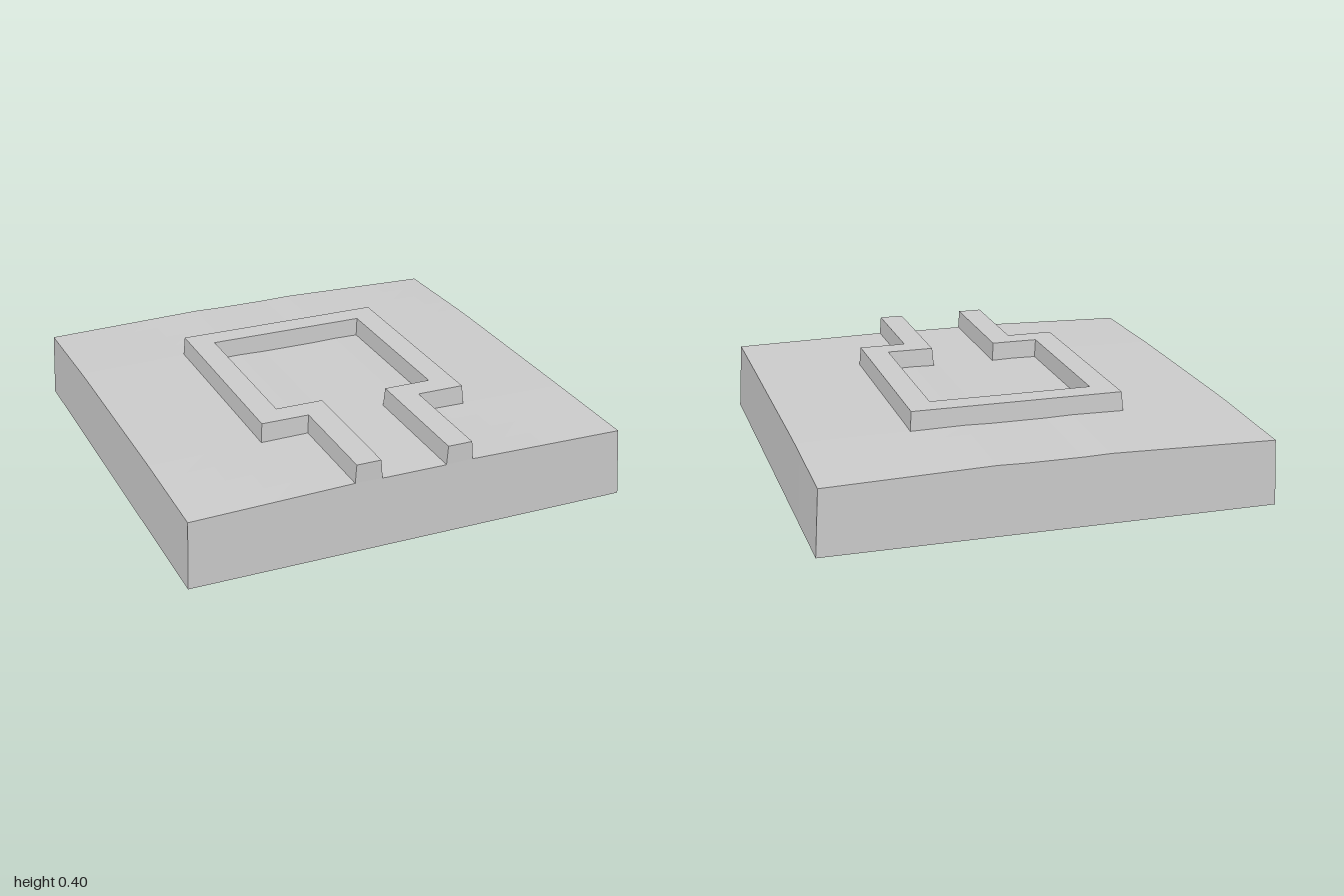
import * as THREE from 'three';

const material = () => new THREE.MeshStandardMaterial({ color: 0xcccccc, flatShading: true });
const ramp = (v, a, b) => THREE.MathUtils.clamp((v - a) / (b - a), 0, 1);

// Ground height: level in the middle, falling gently to the rim and the back corners
function groundHeight(x, z) {
  const side = ramp(Math.abs(x), 0.25, 1);
  const back = ramp(-z, 0.45, 1);
  const front = ramp(z, 0.5, 1);
  const dip = Math.abs(x) < 0.15 ? 0.003 : 0;
  return 0.318 - 0.01 * side - 0.008 * back - dip
    - 0.008 * side * back - (x < 0 ? 0.01 : 0.002) * side * front;
}

// Thick slab with slightly leaning sides and an uneven top
function buildGround() {
  const geo = new THREE.BoxGeometry(2, 1, 2, 16, 1, 16);
  const p = geo.attributes.position;
  for (let i = 0; i < p.count; i++) {
    let x = p.getX(i), z = p.getZ(i), y = 0;
    if (p.getY(i) > 0) {
      y = groundHeight(x, z);
      x *= x > 0 ? 0.982 : 0.988;
      z *= z > 0 ? 0.992 : 0.994;
    }
    p.setXYZ(i, x, y, z);
  }
  geo.computeVertexNormals();
  const mesh = new THREE.Mesh(geo, material());
  mesh.name = 'ground';
  return mesh;
}

// Wall with a tapered section, swept with mitred corners along a path of [x, z] points
function buildWall(path) {
  const section = [[0.064, 0.28], [0.055, 0.4], [-0.055, 0.4], [-0.064, 0.28]];
  const normals = path.slice(1).map(([x, z], i) => {
    const dx = x - path[i][0], dz = z - path[i][1], l = Math.hypot(dx, dz);
    return [dz / l, -dx / l];
  });
  const positions = [], index = [];
  path.forEach(([x, z], i) => {
    const a = normals[i - 1] ?? [0, 0], b = normals[i] ?? [0, 0];
    for (const [w, y] of section) positions.push(x + (a[0] + b[0]) * w, y, z + (a[1] + b[1]) * w);
  });
  for (let i = 0; i < path.length - 1; i++) {
    for (let k = 0; k < 4; k++) {
      const a = i * 4 + k, b = i * 4 + (k + 1) % 4;
      index.push(a, b, b + 4, a, b + 4, a + 4);
    }
  }
  // End caps
  const e = (path.length - 1) * 4;
  index.push(0, 2, 1, 0, 3, 2, e, e + 1, e + 2, e, e + 2, e + 3);
  const indexed = new THREE.BufferGeometry();
  indexed.setAttribute('position', new THREE.Float32BufferAttribute(positions, 3));
  indexed.setIndex(index);
  const geo = indexed.toNonIndexed();
  geo.computeVertexNormals();
  const mesh = new THREE.Mesh(geo, material());
  mesh.name = 'wall';
  return mesh;
}

export function createModel() {
  const group = new THREE.Group();
  group.name = 'chamberWithPassage';
  // Right half of the keyhole plan, from the passage mouth to the back corner
  const half = [[0.208, 0.992], [0.208, 0.439], [0.423, 0.439], [0.423, -0.443]];
  const mirrored = half.map(([x, z]) => [-x, z]).reverse();
  group.add(buildGround(), buildWall([...half, ...mirrored]));
  return group;
}
